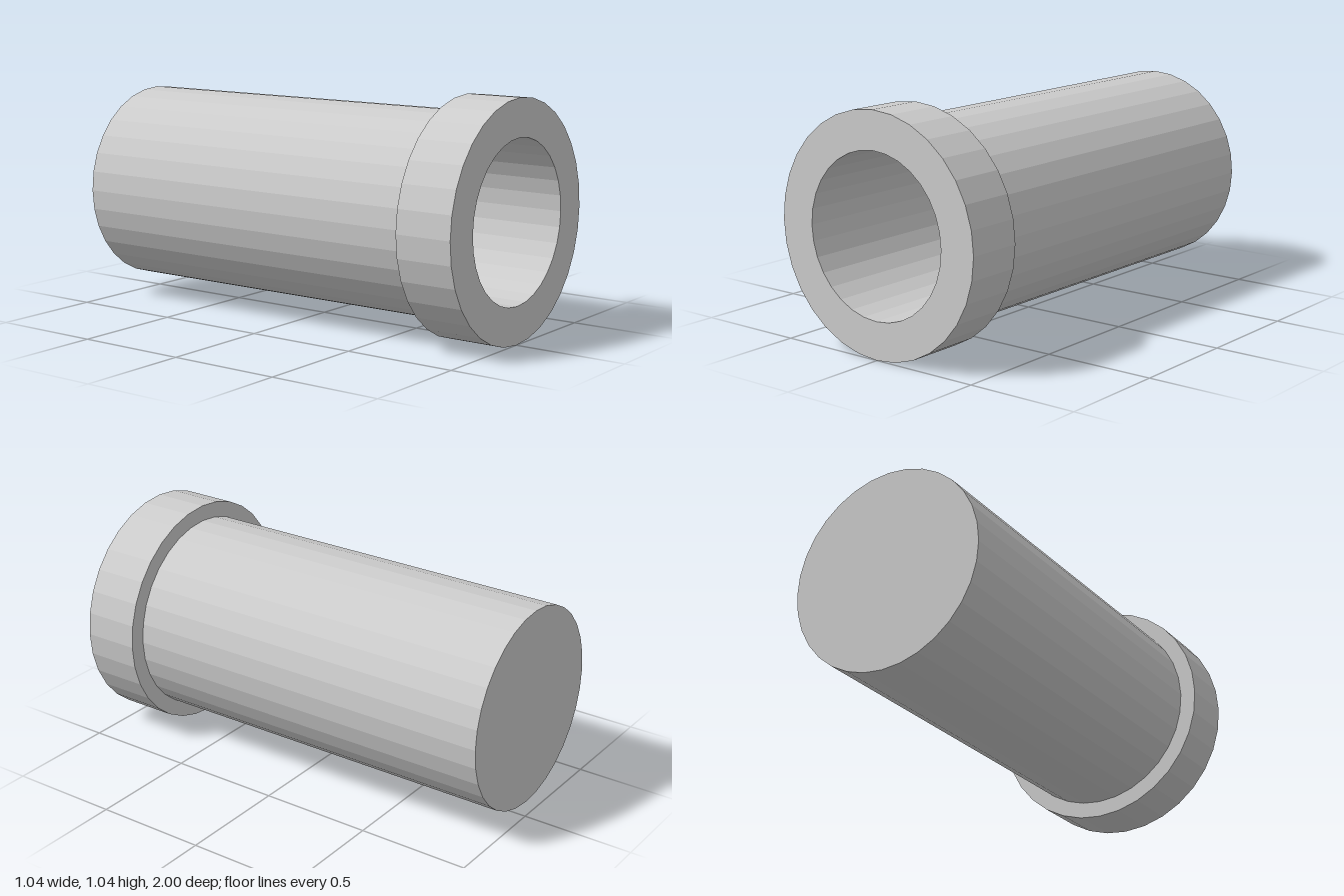
import * as THREE from 'three';

const SIDES = 32;
const COLLAR_R = 0.518, BODY_R = 0.446, BORE_R = 0.353;
const FRONT = 1, COLLAR_BACK = 0.743, BACK = -1, BORE_FLOOR = -0.91;

export function createModel() {
  const group = new THREE.Group();
  const material = new THREE.MeshStandardMaterial({ color: 0xcccccc, flatShading: true });

  // Turns a [radius, z] profile around the horizontal z axis
  const turn = (name, profile) => {
    const points = profile.map(([r, z]) => new THREE.Vector2(r, z));
    const mesh = new THREE.Mesh(new THREE.LatheGeometry(points, SIDES).rotateX(Math.PI / 2), material);
    mesh.name = name;
    mesh.position.y = COLLAR_R;
    group.add(mesh);
  };

  // Closed back end and long barrel
  turn('barrel', [[0, BACK], [BODY_R, BACK], [BODY_R, COLLAR_BACK]]);

  // Wider collar with its rear shoulder and front rim
  turn('collar', [[BODY_R, COLLAR_BACK], [COLLAR_R, COLLAR_BACK], [COLLAR_R, FRONT], [BORE_R, FRONT]]);

  // Blind bore, open at the front
  turn('bore', [[BORE_R, FRONT], [BORE_R, BORE_FLOOR], [0, BORE_FLOOR]]);

  return group;
}
